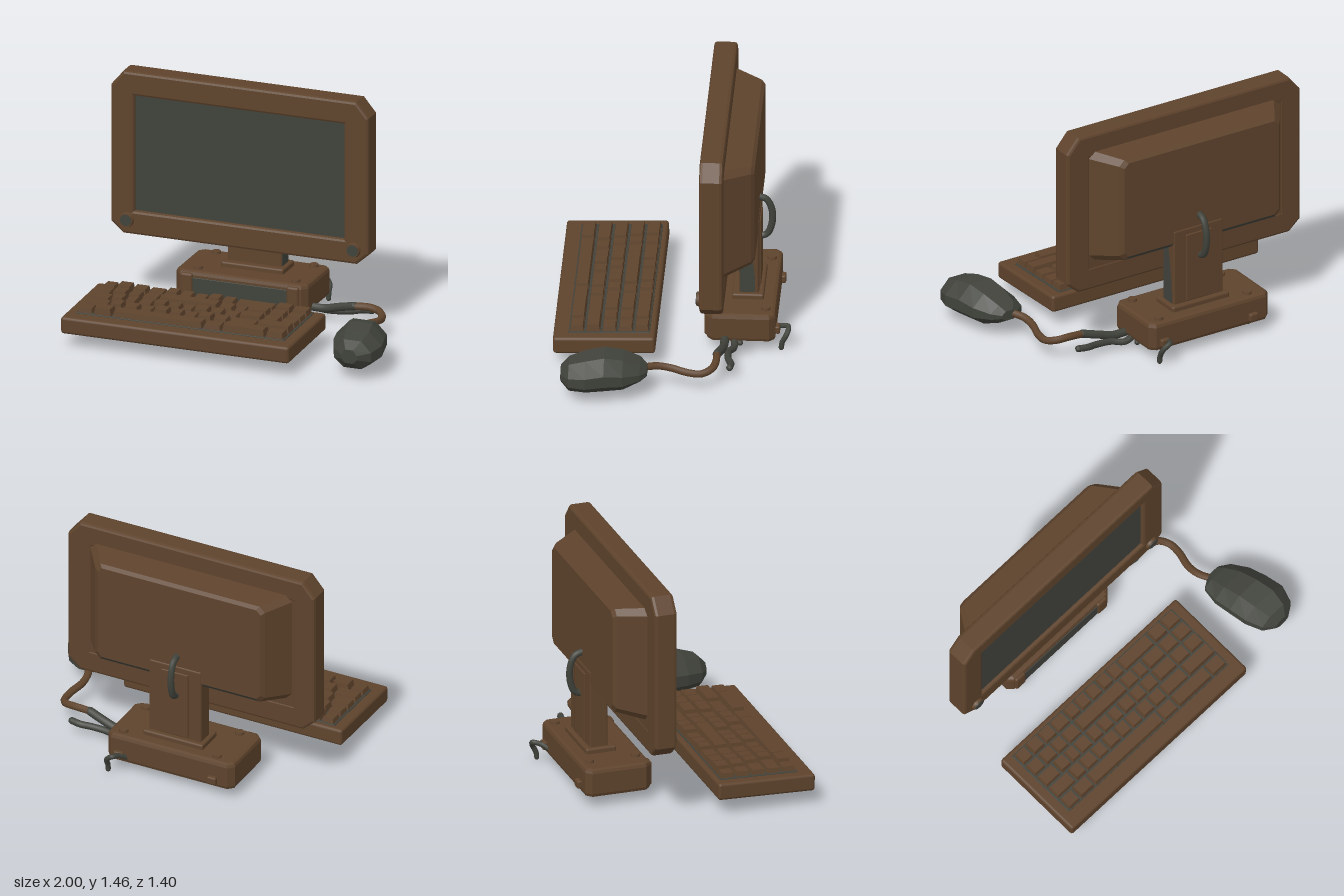
import * as THREE from 'three';
import { RoundedBoxGeometry } from 'three/addons/geometries/RoundedBoxGeometry.js';

const brown = new THREE.MeshStandardMaterial({ color: 0x5e432c });
brown.name = 'brown casing';
const grey = new THREE.MeshStandardMaterial({ color: 0x40423b });
grey.name = 'dark grey';

function add(parent, name, geometry, material, x = 0, y = 0, z = 0) {
  const mesh = new THREE.Mesh(geometry, material);
  mesh.name = name;
  mesh.position.set(x, y, z);
  parent.add(mesh);
  return mesh;
}

// Rounded box given by its bounds
function block(parent, name, material, [x0, x1], [y0, y1], [z0, z1], r = 0.012) {
  const geo = new RoundedBoxGeometry(x1 - x0, y1 - y0, z1 - z0, 2, r);
  return add(parent, name, geo, material, (x0 + x1) / 2, (y0 + y1) / 2, (z0 + z1) / 2);
}

// Chamfered rectangle, counter-clockwise, starting with its bottom edge
function octagon(x0, x1, y0, y1, cx, cy = cx, top = cy) {
  return [[x0 + cx, y0], [x1 - cx, y0], [x1, y0 + cy], [x1, y1 - top],
    [x1 - cx, y1], [x0 + cx, y1], [x0, y1 - top], [x0, y0 + cy]];
}

function shapeOf(points) {
  return new THREE.Shape(points.map(([x, y]) => new THREE.Vector2(x, y)));
}

// Faceted skin over cross-sections [z, points] in order of rising z
function loft(sections) {
  const pos = [];
  const n = sections[0][1].length;
  const put = (i, j) => pos.push(...sections[i][1][j % n], sections[i][0]);
  for (let j = 0; j < n; j++) {
    for (let i = 0; i < sections.length - 1; i++) {
      put(i, j); put(i, j + 1); put(i + 1, j + 1);
      put(i, j); put(i + 1, j + 1); put(i + 1, j);
    }
  }
  const last = sections.length - 1;
  for (let j = 1; j < n - 1; j++) {
    put(0, 0); put(0, j + 1); put(0, j);
    put(last, 0); put(last, j); put(last, j + 1);
  }
  const geo = new THREE.BufferGeometry();
  geo.setAttribute('position', new THREE.Float32BufferAttribute(pos, 3));
  geo.computeVertexNormals();
  return geo;
}

function cable(parent, name, material, points, radius) {
  const curve = new THREE.CatmullRomCurve3(points.map(p => new THREE.Vector3(...p)));
  add(parent, name, new THREE.TubeGeometry(curve, 40, radius, 8), material);
  for (const p of [points[0], points[points.length - 1]]) {
    add(parent, name + 'End', new THREE.SphereGeometry(radius, 8, 6), material, ...p);
  }
}

function buildMonitor() {
  const g = new THREE.Group();
  g.name = 'monitor';
  // Bezel with chamfered corners and screen opening
  const outline = shapeOf(octagon(-1, 0.65, 0.43, 1.455, 0.08, 0.07, 0.095));
  outline.holes.push(new THREE.Path([[-0.85, 0.58], [-0.85, 1.305], [0.49, 1.305], [0.49, 0.58]]
    .map(([x, y]) => new THREE.Vector2(x, y))));
  const bezel = new THREE.ExtrudeGeometry(outline, {
    depth: 0.1, bevelThickness: 0.02, bevelSize: 0.016, bevelOffset: -0.016, bevelSegments: 2,
  });
  add(g, 'bezel', bezel, brown, 0, 0, -0.3);
  block(g, 'screen', grey, [-0.88, 0.52], [0.55, 1.34], [-0.25, -0.205], 0.005);
  block(g, 'backPanel', brown, [-0.9, 0.55], [0.53, 1.36], [-0.317, -0.25], 0.005);
  // Tapered rear housing with a grey underside
  const rear = loft([
    [-0.495, octagon(-0.73, 0.36, 0.68, 1.3, 0.03)],
    [-0.475, octagon(-0.75, 0.385, 0.655, 1.318, 0.035)],
    [-0.315, octagon(-0.85, 0.5, 0.62, 1.34, 0.04)],
  ]);
  rear.addGroup(0, 12, 1);
  rear.addGroup(12, rear.attributes.position.count - 12, 0);
  add(g, 'rearHousing', rear, [brown, grey]);
  // Corner knobs
  for (const x of [-0.895, 0.555]) {
    const knob = add(g, 'knob', new THREE.CylinderGeometry(0.042, 0.05, 0.03, 12), brown, x, 0.522, -0.178);
    const cap = add(g, 'knobCap', new THREE.CylinderGeometry(0.036, 0.036, 0.008, 12), grey, x, 0.522, -0.162);
    knob.rotation.x = cap.rotation.x = Math.PI / 2;
  }
  return g;
}

function buildStand() {
  const g = new THREE.Group();
  g.name = 'stand';
  // Neck and its collar
  block(g, 'neck', brown, [-0.335, 0.015], [0.24, 0.76], [-0.5, -0.385]);
  block(g, 'neckRib', brown, [-0.25, -0.07], [0.28, 0.72], [-0.508, -0.48], 0.006);
  block(g, 'collar', brown, [-0.36, 0.04], [0.225, 0.275], [-0.53, -0.34]);
  const side = shapeOf([[0.388, 0.28], [0.478, 0.28], [0.475, 0.4], [0.44, 0.64], [0.388, 0.64]]);
  const sidePlate = add(g, 'neckSidePlate',
    new THREE.ExtrudeGeometry(side, { depth: 0.004, bevelEnabled: false }), grey, 0.014);
  sidePlate.rotation.y = Math.PI / 2;
  block(g, 'neckFrontPlate', grey, [-0.3, 0.0], [0.4, 0.64], [-0.389, -0.381], 0.002);
  // Cable loop at the back
  cable(g, 'rearLoop', grey, [[-0.17, 0.83, -0.48], [-0.17, 0.81, -0.535], [-0.17, 0.74, -0.567],
    [-0.17, 0.64, -0.565], [-0.17, 0.575, -0.535], [-0.17, 0.56, -0.48]], 0.021);

  // Base
  const plan = shapeOf(octagon(-0.6, 0.245, 0.2, 0.61, 0.035));
  const base = new THREE.ExtrudeGeometry(plan, {
    depth: 0.13, bevelThickness: 0.025, bevelSize: 0.022, bevelOffset: -0.022, bevelSegments: 2,
  });
  base.rotateX(-Math.PI / 2);
  base.translate(0, 0.088, 0);
  base.scale(1, 1, 1);
  add(g, 'base', base, brown);
  block(g, 'baseFrontPanel', grey, [-0.5, 0.15], [0.085, 0.205], [-0.202, -0.194], 0.003);
  block(g, 'baseCornerLeft', brown, [0.12, 0.2], [0.08, 0.23], [-0.24, -0.185], 0.015);
  block(g, 'baseCornerRight', brown, [-0.56, -0.48], [0.08, 0.23], [-0.24, -0.185], 0.015);
  // Bolts, feet and rear plugs
  for (const x of [-0.47, 0.155]) {
    for (const z of [-0.26, -0.55]) {
      add(g, 'bolt', new THREE.CylinderGeometry(0.026, 0.03, 0.025, 10), brown, x, 0.247, z);
      const foot = add(g, 'foot', new THREE.SphereGeometry(0.045, 8, 6), grey, x, 0.07, z);
      foot.scale.set(1.1, 0.6, 0.8);
    }
    block(g, 'rearPlug', brown, [x - 0.03, x + 0.03], [0.09, 0.14], [-0.635, -0.59], 0.01);
  }
  // Loose cable ends
  cable(g, 'rearCableEnd', grey, [[0.11, 0.1, -0.6], [0.14, 0.125, -0.64], [0.165, 0.135, -0.685],
    [0.205, 0.1, -0.675], [0.21, 0.05, -0.65], [0.21, 0.016, -0.645]], 0.016);
  cable(g, 'frontCableEnd', grey, [[0.12, 0.07, -0.34], [0.17, 0.065, -0.36], [0.21, 0.04, -0.4]], 0.018);
  return g;
}

function buildKeyboard() {
  const g = new THREE.Group();
  g.name = 'keyboard';
  g.position.set(-0.24, 0.145, 0.395);
  g.rotation.x = 0.03;
  block(g, 'tray', brown, [-0.73, 0.73], [-0.053, 0.053], [-0.304, 0.304], 0.018);
  block(g, 'keyBed', grey, [-0.665, 0.665], [0.05, 0.058], [-0.272, 0.212], 0.003);
  // Key edges of each row, from right to left of the model
  const rows = [
    [-0.9, -0.81, -0.71, -0.61, -0.5, -0.41, -0.32, -0.23, -0.14, -0.05, 0.2, 0.31, 0.42],
    [-0.9, -0.8, -0.7, -0.61, -0.5, -0.12, -0.02, 0.06, 0.2, 0.31, 0.42],
    [-0.9, -0.77, -0.68, -0.6, -0.5, -0.41, -0.32, -0.24, -0.14, -0.05, 0.05, 0.2, 0.31, 0.42],
    [-0.9, -0.74, -0.65, -0.55, -0.46, -0.36, -0.27, -0.18, -0.08, 0.02, 0.2, 0.42],
    [-0.9, -0.8, -0.68, -0.1, 0.02, 0.3, 0.42],
  ];
  rows.forEach((edges, r) => {
    const z = 0.172 + r * 0.0965 - 0.395;
    for (let i = 0; i < edges.length - 1; i++) {
      const w = edges[i + 1] - edges[i] - 0.012;
      const h = 0.034 + 0.006 * ((i * 5 + r * 3) % 3);
      const key = new THREE.BoxGeometry(w, h, 0.084);
      const p = key.attributes.position;
      // Narrow the top of each key
      for (let k = 0; k < p.count; k++) {
        if (p.getY(k) > 0) {
          p.setX(k, p.getX(k) - Math.sign(p.getX(k)) * 0.007);
          p.setZ(k, p.getZ(k) * 0.84);
        }
      }
      key.computeVertexNormals();
      add(g, 'key', key, brown, (edges[i] + edges[i + 1]) / 2 + 0.24, 0.054 + h / 2, z);
    }
  });
  return g;
}

function buildMouse() {
  const g = new THREE.Group();
  g.name = 'mouse';
  // z, then right, left, bottom and top limits of each section
  const sections = [
    [0.12, 0.73, 0.83, 0.125, 0.185], [0.16, 0.667, 0.885, 0.1, 0.215],
    [0.26, 0.655, 0.945, 0.065, 0.262], [0.37, 0.67, 0.975, 0.065, 0.287],
    [0.48, 0.69, 1.0, 0.065, 0.275], [0.58, 0.735, 0.97, 0.07, 0.245],
    [0.63, 0.8, 0.9, 0.115, 0.2],
  ].map(([z, x0, x1, y0, y1]) => [z,
    octagon(x0, x1, y0, y1, (x1 - x0) * 0.26, (y1 - y0) * 0.3, (y1 - y0) * 0.38)]);
  add(g, 'mouseBody', loft(sections), grey);
  // Cord to the base, brown at first, then grey
  cable(g, 'cord', brown, [[0.75, 0.155, 0.15], [0.71, 0.145, 0.06], [0.705, 0.13, -0.02],
    [0.73, 0.115, -0.12], [0.73, 0.11, -0.2], [0.69, 0.125, -0.26], [0.62, 0.135, -0.28],
    [0.52, 0.13, -0.28]], 0.023);
  cable(g, 'cordEnd', grey, [[0.52, 0.13, -0.28], [0.42, 0.105, -0.3], [0.32, 0.08, -0.31],
    [0.22, 0.08, -0.31]], 0.026);
  cable(g, 'spareCord', grey, [[0.6, 0.085, -0.36], [0.54, 0.08, -0.365], [0.47, 0.07, -0.345],
    [0.36, 0.06, -0.34], [0.28, 0.05, -0.37], [0.2, 0.075, -0.36]], 0.021);
  return g;
}

export function createModel() {
  const model = new THREE.Group();
  model.name = 'desktopComputer';
  model.add(buildMonitor(), buildStand(), buildKeyboard(), buildMouse());
  return model;
}
